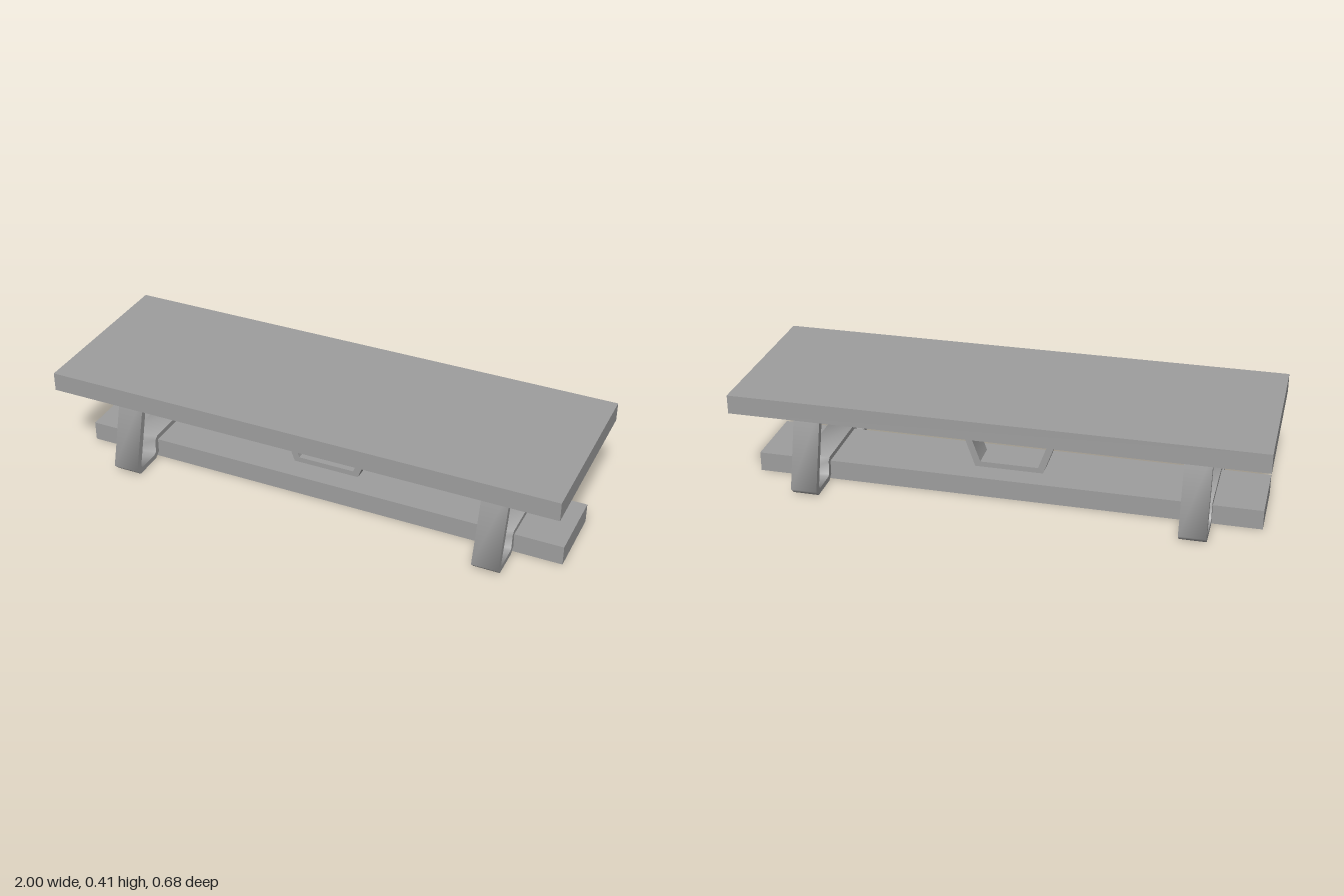
import * as THREE from 'three';
import { toCreasedNormals } from 'three/addons/utils/BufferGeometryUtils.js';

const material = new THREE.MeshStandardMaterial({ color: 0x9e9e9e });

// Mirrors a half outline (top to bottom, first coordinate positive) into a counter-clockwise loop
function mirrored(half) {
  const other = half.map(([a, y]) => [-a, y]);
  return [...other, ...[...half].reverse()].map(([a, y]) => new THREE.Vector2(a, y));
}

// Flat-bar frame: outer loop with a hole, centred on its depth, with softly shaded bends
function frameGeometry(outer, inner, depth) {
  const shape = new THREE.Shape(mirrored(outer));
  shape.holes.push(new THREE.Path(mirrored(inner)));
  const geometry = new THREE.ExtrudeGeometry(shape, { depth, bevelEnabled: false });
  geometry.translate(0, 0, -depth / 2);
  return toCreasedNormals(geometry, THREE.MathUtils.degToRad(65));
}

export function createModel() {
  const group = new THREE.Group();

  function add(name, geometry, x = 0, y = 0) {
    const mesh = new THREE.Mesh(geometry, material);
    mesh.name = name;
    mesh.position.set(x, y, 0);
    group.add(mesh);
  }

  // Slabs
  add('tableTop', new THREE.BoxGeometry(2, 0.073, 0.684), 0, 0.3745);
  add('lowerBeam', new THREE.BoxGeometry(1.95, 0.077, 0.284), 0, 0.0385);

  // Bent legs that step over the beam
  const leg = frameGeometry(
    [[0.219, 0.338], [0.307, 0.025], [0.284, 0.002], [0.165, 0.002], [0.142, 0.022], [0.142, 0.077]],
    [[0.199, 0.316], [0.276, 0.036], [0.268, 0.023], [0.175, 0.023], [0.164, 0.031], [0.162, 0.083], [0.147, 0.096]],
    0.102
  ).rotateY(Math.PI / 2);
  add('leftLeg', leg, 0.737);
  add('rightLeg', leg, -0.737);

  // Tapered centre support between beam and top
  add('centreSupport', frameGeometry(
    [[0.203, 0.338], [0.219, 0.317], [0.133, 0.077]],
    [[0.185, 0.317], [0.19, 0.311], [0.113, 0.098]],
    0.102
  ));

  return group;
}
